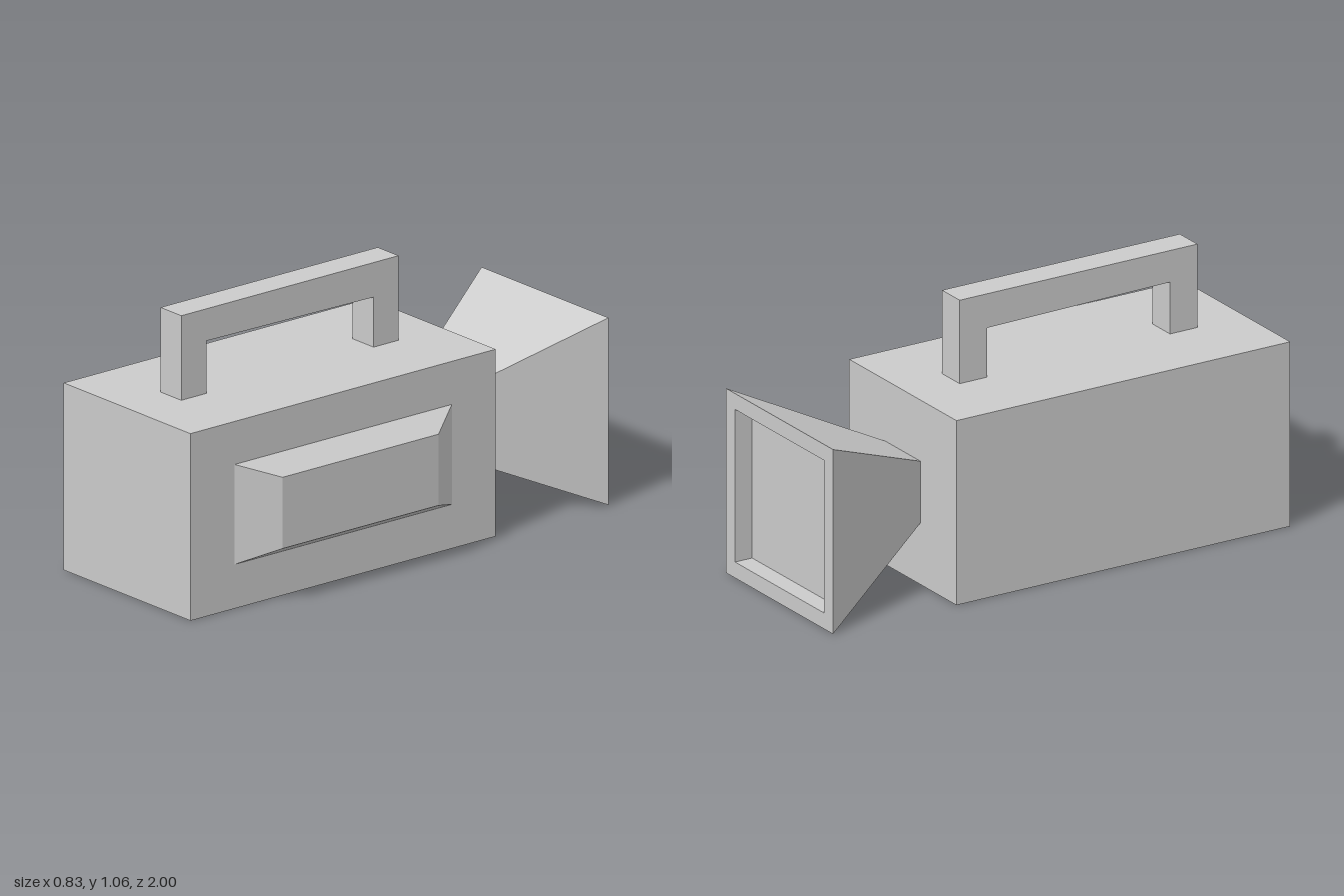
import * as THREE from 'three';

const material = new THREE.MeshStandardMaterial({ color: 0xcccccc, flatShading: true });

function addPart(group, name, geometry, x, y, z, turn = 0) {
  const mesh = new THREE.Mesh(geometry, material);
  mesh.name = name;
  mesh.position.set(x, y, z);
  mesh.rotation.y = turn;
  group.add(mesh);
}

// Joins rectangular sections [halfWidth, halfHeight, z] and caps both ends
function loftRects(sections) {
  const rings = sections.map(([w, h, z]) => [[-w, -h, z], [w, -h, z], [w, h, z], [-w, h, z]]);
  const positions = [];
  const quad = (a, b, c, d) => positions.push(...a, ...b, ...c, ...a, ...c, ...d);
  for (let k = 0; k < rings.length - 1; k++) {
    const a = rings[k], b = rings[k + 1];
    for (let i = 0; i < 4; i++) {
      const j = (i + 1) % 4;
      quad(a[i], a[j], b[j], b[i]);
    }
  }
  quad(...[...rings[0]].reverse());
  quad(...rings[rings.length - 1]);
  const geometry = new THREE.BufferGeometry();
  geometry.setAttribute('position', new THREE.Float32BufferAttribute(positions, 3));
  geometry.computeVertexNormals();
  return geometry;
}

export function createModel() {
  const group = new THREE.Group();
  group.name = 'camera';

  // Main box
  addPart(group, 'body', new THREE.BoxGeometry(0.73, 0.73, 1.46), -0.05, 0.365, 0.27);

  // Carrying handle: arch outline extruded across the body
  const arch = new THREE.Shape([
    [-0.79, 0.73], [-0.67, 0.73], [-0.67, 0.935], [0.13, 0.925],
    [0.13, 0.73], [0.25, 0.73], [0.25, 1.06], [-0.79, 1.06],
  ].map(([x, y]) => new THREE.Vector2(x, y)));
  const handle = new THREE.ExtrudeGeometry(arch, { depth: 0.12, bevelEnabled: false });
  addPart(group, 'handle', handle, -0.11, 0, 0, Math.PI / 2);

  // Bevelled panel on the left side
  const panel = loftRects([[0.52, 0.195, 0], [0.373, 0.139, 0.1]]);
  addPart(group, 'sidePanel', panel, 0.315, 0.367, 0.269, Math.PI / 2);

  // Flared hood with a rim and a shallow recess at its mouth
  const hood = loftRects([
    [0.12, 0.122, 0], [0.365, 0.365, 0.54],
    [0.302, 0.302, 0.54], [0.302, 0.302, 0.465],
  ]);
  addPart(group, 'lensHood', hood, -0.05, 0.366, -0.46, Math.PI);

  return group;
}
